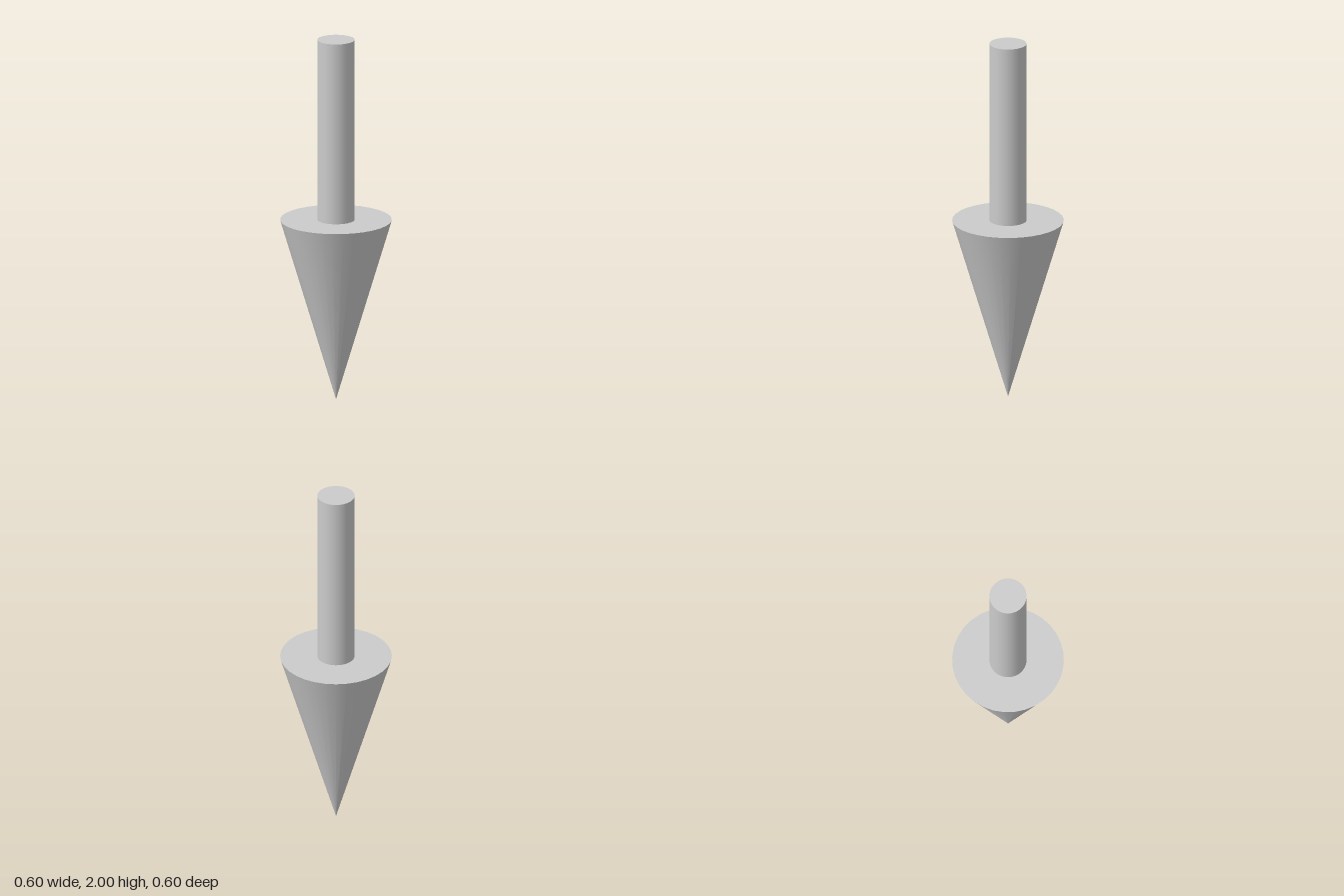
import * as THREE from 'three';

const SEGMENTS = 32;

export function createModel() {
  const group = new THREE.Group();
  group.name = 'downArrow';
  const material = new THREE.MeshStandardMaterial({ color: 0xcccccc });

  const addPart = (name, geometry, y) => {
    const mesh = new THREE.Mesh(geometry, material);
    mesh.name = name;
    mesh.position.y = y;
    group.add(mesh);
  };

  // Upright shaft standing on the flat base of the head
  addPart('shaft', new THREE.CylinderGeometry(0.1, 0.1, 1, SEGMENTS), 1.5);

  // Cone head, turned over so its tip touches the ground
  const head = new THREE.ConeGeometry(0.3, 1, SEGMENTS).rotateX(Math.PI);
  addPart('arrowHead', head, 0.5);

  return group;
}
